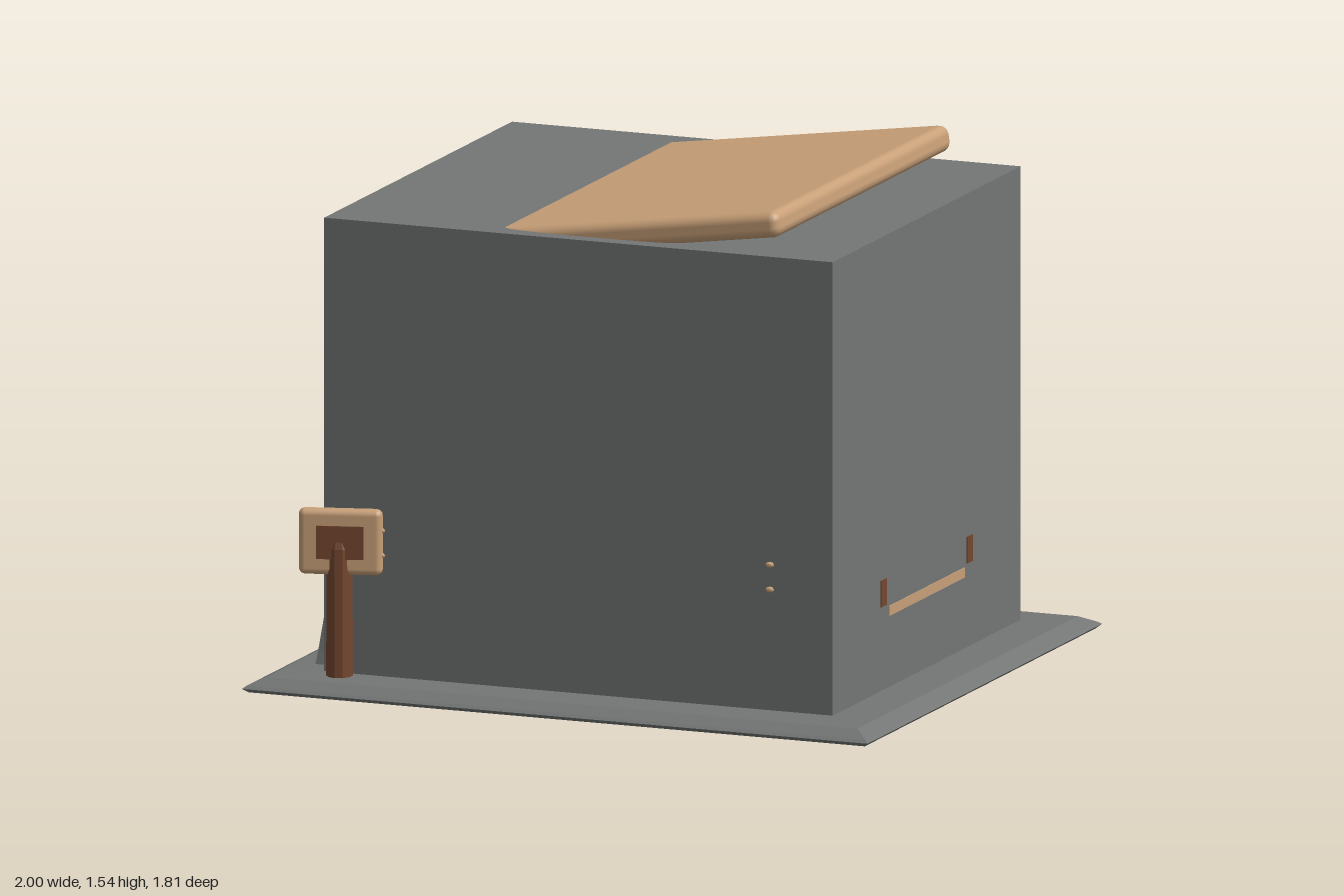
import * as THREE from 'three';
import { RoundedBoxGeometry } from 'three/addons/geometries/RoundedBoxGeometry.js';

const mat = (name, color) => {
  const m = new THREE.MeshStandardMaterial({ color });
  m.name = name;
  return m;
};

// Stacked rectangles [halfX, halfZ, y] joined by flat faces
function rectLoops(loops) {
  const pos = [];
  const corner = ([hx, hz, y], i) => [hx * [1, 1, -1, -1][i % 4], y, hz * [1, -1, -1, 1][i % 4]];
  for (let k = 0; k < loops.length - 1; k++) {
    for (let i = 0; i < 4; i++) {
      const a = corner(loops[k], i), b = corner(loops[k], i + 1);
      const c = corner(loops[k + 1], i + 1), d = corner(loops[k + 1], i);
      pos.push(...a, ...b, ...c, ...a, ...c, ...d);
    }
  }
  const g = new THREE.BufferGeometry();
  g.setAttribute('position', new THREE.Float32BufferAttribute(pos, 3));
  g.computeVertexNormals();
  return g;
}

export function createModel() {
  const root = new THREE.Group();
  const grey = mat('stoneGrey', 0x737675);
  const tan = mat('paleWood', 0xc8a078);
  const brown = mat('darkWood', 0x74472f);

  const add = (name, geo, material, x = 0, y = 0, z = 0, parent = root) => {
    const m = new THREE.Mesh(geo, material);
    m.name = name;
    m.position.set(x, y, z);
    parent.add(m);
    return m;
  };

  // Main block and the sloped skirt around its foot
  add('block', new THREE.BoxGeometry(1.626, 1.412, 1.45), grey, 0, 0.709, -0.003);
  add('baseSkirt', rectLoops([
    [0.8, 0.71, 0.03], [0.97, 0.875, 0.004], [0.985, 0.89, 0], [1, 0.905, 0.012],
    [0.99, 0.895, 0.02], [0.945, 0.85, 0.042], [0.8, 0.71, 0.045],
  ]), grey);

  // Tilted hatch sunk into the top
  const lid = add('tiltedHatch', new RoundedBoxGeometry(1.0, 0.08, 1.345, 2, 0.03), tan, 0.122, 1.43, 0);
  lid.rotation.z = 0.141;

  // Sign on a post at the front
  const sign = new THREE.Group();
  sign.name = 'sign';
  sign.position.set(-0.745, 0.45, 0.757);
  sign.rotation.y = 0.27;
  root.add(sign);
  add('signBoard', new RoundedBoxGeometry(0.25, 0.2, 0.045, 2, 0.02), tan, 0, 0, 0, sign);
  add('signPanel', new THREE.BoxGeometry(0.14, 0.1, 0.008), brown, 0, 0, 0.023, sign);
  const postProfile = [[0, 0.03], [0.04, 0.03], [0.038, 0.43], [0.028, 0.465], [0.025, 0.5], [0.015, 0.518], [0, 0.52]];
  const lathe = (pts, n) => {
    const g = new THREE.LatheGeometry(pts.map(([r, y]) => new THREE.Vector2(r, y)), n).toNonIndexed();
    g.computeVertexNormals();
    return g;
  };
  add('signPost', lathe(postProfile, 10), brown, -0.75, 0, 0.755);

  // Barrel at the back corner
  const barrel = new THREE.Group();
  barrel.name = 'barrel';
  barrel.position.set(-0.755, 0, -0.68);
  root.add(barrel);
  add('barrelBody', lathe([
    [0, 0.04], [0.145, 0.04], [0.155, 0.07], [0.153, 0.25], [0.142, 0.4],
    [0.132, 0.435], [0.108, 0.435], [0.104, 0.39],
  ], 12), brown, 0, 0, 0, barrel);
  const top = add('barrelTop', new THREE.CircleGeometry(0.108, 12), tan, 0, 0.41, 0, barrel);
  top.rotation.x = -Math.PI / 2;
  add('barrelHoop', lathe([
    [0.145, 0.217], [0.178, 0.217], [0.196, 0.248], [0.178, 0.28], [0.145, 0.28],
  ], 12), tan, 0, 0, 0, barrel);

  // Handle bar and brackets on the left side
  add('handleBar', new THREE.BoxGeometry(0.01, 0.03, 0.585), tan, 0.811, 0.275, 0);
  for (const s of [1, -1]) {
    add('handleBracket', new THREE.BoxGeometry(0.01, 0.08, 0.045), brown, 0.811, 0.338, s * 0.332);
  }

  // Sloped plates and slats on the right side, small pegs at the front and back
  const plateShape = rectLoops([
    [0.035, 0.155, 0.06], [0.03, 0.145, 0.1], [0.01, 0.115, 0.275], [0, 0.11, 0.28],
  ]);
  for (const s of [1, -1]) {
    add('slopedPlate', plateShape, grey, -0.813, 0, s * 0.55);
    for (const y of [0.41, 0.485]) {
      const slat = add('sideSlat', new THREE.SphereGeometry(1, 8, 4), tan, -0.813, y, s * 0.54);
      slat.scale.set(0.032, 0.016, 0.075);
      for (const x of [0.613, -0.63]) {
        const peg = add('peg', new THREE.SphereGeometry(1, 8, 4), tan, x, y, s * 0.725);
        peg.scale.set(0.014, 0.009, 0.01);
      }
    }
  }
  return root;
}
